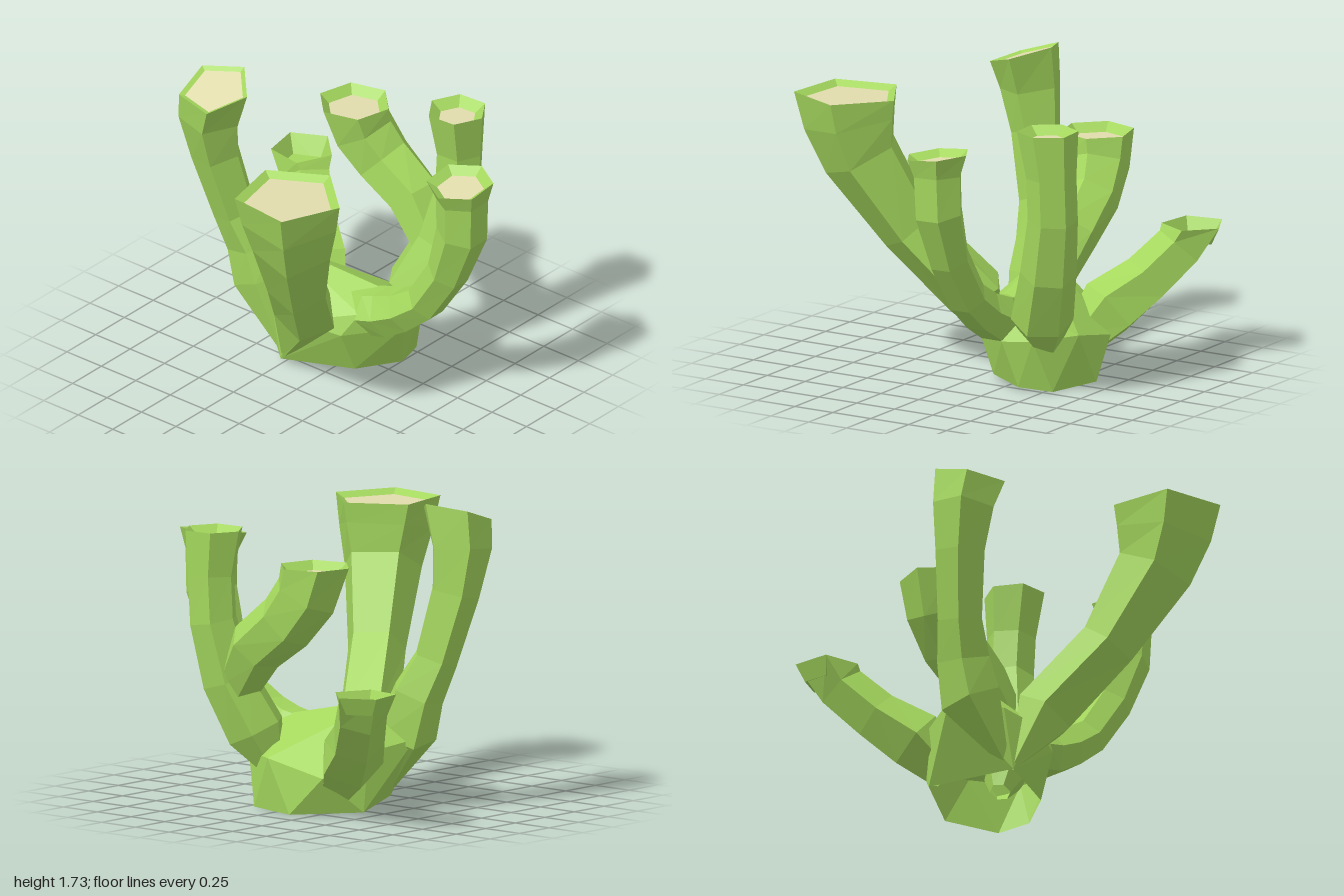
import * as THREE from 'three';
import { ConvexGeometry } from 'three/addons/geometries/ConvexGeometry.js';

const V = (x, y, z) => new THREE.Vector3(x, y, z);

// Ring of corners around a centre, square to the given normal
function ring(centre, normal, radius, sides, phase) {
  const q = new THREE.Quaternion().setFromUnitVectors(V(0, 1, 0), normal);
  return Array.from({ length: sides }, (_, i) => {
    const a = THREE.MathUtils.degToRad(phase) + (i / sides) * Math.PI * 2;
    return V(Math.cos(a) * radius, 0, Math.sin(a) * radius).applyQuaternion(q).add(centre);
  });
}

function facets(points) {
  const g = new THREE.BufferGeometry().setFromPoints(points);
  g.computeVertexNormals();
  return g;
}

// Convex faceted shell with its underside left open
function openShell(corners) {
  const pos = new ConvexGeometry(corners).getAttribute('position');
  const kept = [];
  for (let i = 0; i < pos.count; i += 3) {
    const tri = [0, 1, 2].map(k => new THREE.Vector3().fromBufferAttribute(pos, i + k));
    const normal = new THREE.Triangle(...tri).getNormal(V(0, 0, 0));
    if (normal.y > -0.9) kept.push(...tri);
  }
  return facets(kept);
}

// Faceted branch along [x, y, z, radius] stations, ending in a hollow rim with a floor
function branch(name, stations, { sides, phase, tip = V(0, 1, 0), inset, depth }, skin, floorMat) {
  const centres = stations.map(s => V(s[0], s[1], s[2]));
  const last = centres.length - 1;
  tip.normalize();
  const rings = centres.map((c, i) => {
    const n = i === last ? tip
      : centres[i + 1].clone().sub(centres[Math.max(i - 1, 0)]).normalize();
    return ring(c, n, stations[i][3], sides, phase);
  });
  const floorCentre = centres[last].clone().addScaledVector(tip, -depth);
  const floorRing = ring(floorCentre, tip, stations[last][3] * inset, sides, phase);
  rings.push(floorRing);

  const wall = [], floor = [];
  for (let i = 0; i < sides; i++) {
    const j = (i + 1) % sides;
    for (let k = 0; k < rings.length - 1; k++) {
      const lo = rings[k], hi = rings[k + 1];
      wall.push(lo[i], hi[i], lo[j], lo[j], hi[i], hi[j]);
    }
    floor.push(floorCentre, floorRing[j], floorRing[i]);
  }
  const group = new THREE.Group();
  group.name = name;
  const wallMesh = new THREE.Mesh(facets(wall), skin);
  wallMesh.name = name + 'Wall';
  const floorMesh = new THREE.Mesh(facets(floor), floorMat);
  floorMesh.name = name + 'Floor';
  group.add(wallMesh, floorMesh);
  return group;
}

export function createModel() {
  const green = new THREE.MeshStandardMaterial({ color: 0xa4d75d, side: THREE.DoubleSide });
  green.name = 'coral green';
  const tan = new THREE.MeshStandardMaterial({ color: 0xe0dcac });
  tan.name = 'pale tan';

  const model = new THREE.Group();
  model.name = 'tubeCoral';

  // Chunky faceted base: foot, shoulders, crown
  const base = new THREE.Mesh(openShell([
    V(-0.25, 0.035, 0.09), V(-0.46, 0.02, -0.38), V(-0.12, 0, -0.62),
    V(0.21, 0, -0.54), V(0.27, 0.015, -0.35), V(0.13, 0.025, -0.1),
    V(0.33, 0.28, -0.28), V(0.31, 0.3, -0.47), V(0.05, 0.3, -0.61), V(-0.33, 0.22, -0.58),
    V(-0.58, 0.41, -0.08), V(-0.48, 0.36, -0.36), V(0.12, 0.28, 0.01), V(-0.12, 0.34, 0.12),
    V(-0.32, 0.39, 0.09), V(0.18, 0.4, -0.08),
    V(-0.39, 0.62, -0.12), V(-0.14, 0.54, -0.18), V(-0.04, 0.51, -0.27), V(0.22, 0.49, -0.27),
  ]), green);
  base.name = 'base';
  model.add(base);

  // Wide front tube, tapering down to the front of the foot
  model.add(branch('frontTube', [
    [-0.24, 0.05, 0.07, 0.015], [-0.04, 0.42, 0.12, 0.18], [0.16, 0.8, 0.43, 0.172],
    [0.31, 1.22, 0.65, 0.23], [0.335, 1.42, 0.695, 0.28], [0.34, 1.58, 0.715, 0.312],
  ], { sides: 5, phase: -12, inset: 0.83, depth: 0.03 }, green, tan));

  // Tall tube on the right, sharing the same root, tip tilted forward
  model.add(branch('tallTube', [
    [-0.26, 0.06, 0.05, 0.015], [-0.46, 0.43, -0.03, 0.18], [-0.53, 0.65, -0.01, 0.155],
    [-0.61, 0.85, 0.05, 0.13], [-0.68, 1.22, 0.13, 0.145], [-0.69, 1.47, 0.17, 0.18],
    [-0.645, 1.67, 0.18, 0.21],
  ], { sides: 5, phase: -6, tip: V(0, 1, 0.32), inset: 0.85, depth: 0.015 }, green, tan));

  // Curved tube on the left
  model.add(branch('sideTube', [
    [-0.1, 0.4, -0.22, 0.06], [0.16, 0.37, -0.2, 0.145], [0.27, 0.395, -0.21, 0.145],
    [0.41, 0.465, -0.2, 0.127], [0.56, 0.575, -0.2, 0.115], [0.73, 0.83, -0.19, 0.12],
    [0.835, 1.12, -0.185, 0.145], [0.84, 1.34, -0.18, 0.148], [0.83, 1.45, -0.175, 0.19],
  ], { sides: 6, phase: 30, tip: V(0, 1, 0.11), inset: 0.7, depth: 0.04 }, green, tan));

  // Forked back tube: upright stem and its side arm
  model.add(branch('backStem', [
    [0.14, 0.2, -0.45, 0.06], [0.24, 0.42, -0.49, 0.175], [0.35, 0.72, -0.6, 0.158],
    [0.405, 1.05, -0.665, 0.14], [0.42, 1.3, -0.665, 0.14], [0.42, 1.56, -0.64, 0.172],
  ], { sides: 6, phase: -4, inset: 0.65, depth: 0.05 }, green, tan));
  model.add(branch('backArm', [
    [0.3, 0.68, -0.58, 0.13], [0.13, 0.92, -0.61, 0.165], [-0.08, 1.08, -0.6, 0.175],
    [-0.2, 1.24, -0.57, 0.19], [-0.245, 1.41, -0.545, 0.21],
  ], { sides: 6, phase: -15, inset: 0.75, depth: 0.05 }, green, tan));

  // Short low tube at the back, green inside
  model.add(branch('lowTube', [
    [-0.3, 0.16, -0.4, 0.12], [-0.46, 0.33, -0.49, 0.185], [-0.63, 0.475, -0.63, 0.155],
    [-0.77, 0.65, -0.76, 0.148], [-0.835, 0.78, -0.81, 0.182],
  ], { sides: 5, phase: -10, inset: 0.7, depth: 0.1 }, green, green));

  return model;
}
